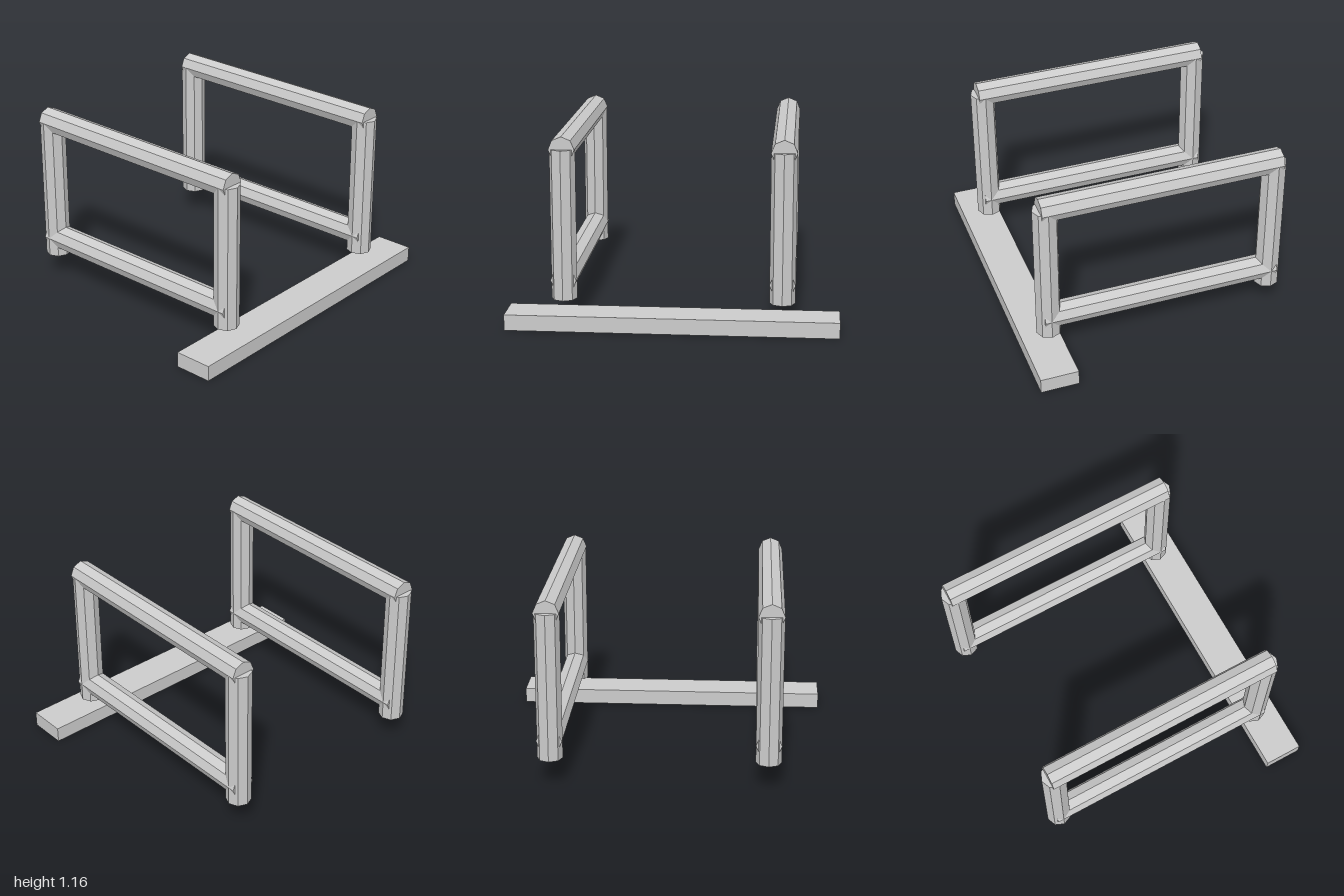
import * as THREE from 'three';

export function createModel() {
  const model = new THREE.Group();
  const grey = new THREE.MeshStandardMaterial({ color: 0xcccccc, flatShading: true });
  grey.name = 'light grey';

  const R = 0.078, leftX = 0.679, rightX = -0.762;
  const lowY = 0.283, topY = 1.082, footY = 0.165;

  // Eight-sided bars with corners on the axes
  const postGeo = new THREE.CylinderGeometry(R, R, topY - footY, 8);
  const railGeo = new THREE.CylinderGeometry(R, R, 1.518, 8).rotateZ(Math.PI / 2);

  function add(parent, name, geometry, x, y, z = 0) {
    const mesh = new THREE.Mesh(geometry, grey);
    mesh.name = name;
    mesh.position.set(x, y, z);
    parent.add(mesh);
  }

  // Two identical rectangular frames
  for (const [name, z] of [['frontFrame', 0.656], ['backFrame', -0.656]]) {
    const frame = new THREE.Group();
    frame.name = name;
    frame.position.z = z;
    add(frame, 'leftPost', postGeo, leftX, (topY + footY) / 2);
    add(frame, 'rightPost', postGeo, rightX, (topY + footY) / 2);
    add(frame, 'topRail', railGeo, (leftX + rightX) / 2, topY);
    add(frame, 'lowerRail', railGeo, (leftX + rightX) / 2, lowY);
    model.add(frame);
  }

  // Long flat plank under the left posts
  add(model, 'basePlank', new THREE.BoxGeometry(0.24, 0.097, 2), 0.72, 0.0485);
  return model;
}
